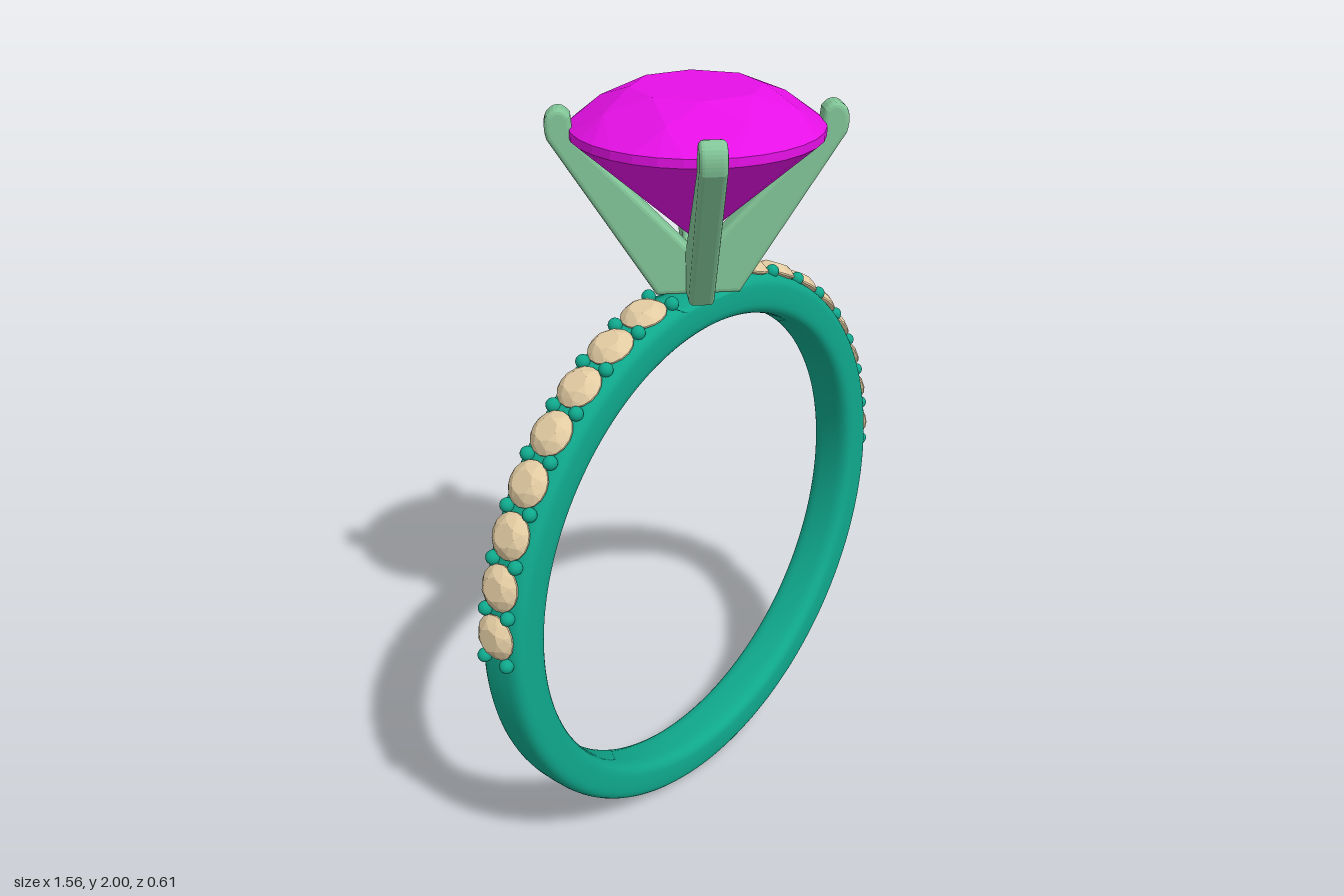
import * as THREE from 'three';
import { ConvexGeometry } from 'three/addons/geometries/ConvexGeometry.js';

const mat = (color, flatShading = false) => new THREE.MeshStandardMaterial({ color, flatShading });
const CENTRE = 0.76; // height of the band's axis

// Brilliant cut of unit radius: table, crown points, girdle, pavilion and culet
function brilliant(n, crown, pavilion) {
  const pts = [new THREE.Vector3(0, -pavilion, 0)];
  const ring = (count, r, y, turn = 0) => {
    for (let i = 0; i < count; i++) {
      const a = ((i + turn) / count) * Math.PI * 2;
      pts.push(new THREE.Vector3(r * Math.sin(a), y, r * Math.cos(a)));
    }
  };
  ring(8, 0.52, crown);
  ring(8, 0.79, crown * 0.62, 0.5);
  ring(n, 1, 0.04);
  ring(n, 1, -0.03);
  ring(n / 2, 0.965, -0.06);
  return new ConvexGeometry(pts);
}

// Ring with a softly squared section, levelled under the setting
function bandGeometry() {
  const profile = [];
  const soft = (v) => Math.sign(v) * Math.pow(Math.abs(v), 0.55);
  for (let i = 0; i <= 32; i++) {
    const a = (i / 32) * Math.PI * 2;
    profile.push(new THREE.Vector2(0.7 + 0.055 * soft(Math.cos(a)), 0.068 * soft(Math.sin(a))));
  }
  const geo = new THREE.LatheGeometry(profile, 160);
  geo.rotateX(Math.PI / 2);
  geo.translate(0, CENTRE, 0);
  const p = geo.attributes.position;
  for (let i = 0; i < p.count; i++) {
    if (Math.abs(p.getX(i)) < 0.135) p.setY(i, Math.min(p.getY(i), 1.482));
  }
  return geo;
}

// Tapered blade in a radial plane, with a rounded claw at the top
function prongGeometry() {
  const b = 0.012;
  const s = new THREE.Shape();
  s.moveTo(-0.01, 1.49 + b);
  s.lineTo(0.11 - b, 1.49 + b);
  s.lineTo(0.346, 1.89);
  s.quadraticCurveTo(0.354, 1.92, 0.345, 1.936);
  s.quadraticCurveTo(0.327, 1.957, 0.311, 1.936);
  s.lineTo(0.305, 1.885);
  s.lineTo(-0.01, 1.56);
  s.closePath();
  const geo = new THREE.ExtrudeGeometry(s, {
    depth: 0.04, bevelEnabled: true, bevelSize: b, bevelThickness: b, bevelSegments: 3, curveSegments: 6,
  });
  geo.translate(0, 0, -0.02);
  return geo;
}

export function createModel() {
  const model = new THREE.Group();
  const metal = mat(0x0fa88c);
  const add = (parent, name, geo, material) => {
    const mesh = new THREE.Mesh(geo, material);
    mesh.name = name;
    parent.add(mesh);
    return mesh;
  };

  add(model, 'band', bandGeometry(), metal);

  // Centre stone
  const gem = add(model, 'centreStone', brilliant(32, 0.333, 0.91), mat(0xe610e6, true));
  gem.scale.setScalar(0.307);
  gem.position.y = 1.898;

  // Four-claw setting
  const setting = new THREE.Group();
  setting.name = 'setting';
  model.add(setting);
  const prongGeo = prongGeometry();
  const prongMat = mat(0x82c698);
  for (let i = 0; i < 4; i++) {
    add(setting, 'prong', prongGeo, prongMat).rotation.y = Math.PI / 4 + (i * Math.PI) / 2;
  }

  // Small stones along both shoulders, with a pair of beads in every gap
  const stoneGeo = brilliant(16, 0.42, 0.6);
  const stoneMat = mat(0xe2cba2, true);
  const beadGeo = new THREE.SphereGeometry(0.018, 14, 10);
  const step = 9.7;
  for (const side of [1, -1]) {
    const shoulder = new THREE.Group();
    shoulder.name = side > 0 ? 'leftShoulder' : 'rightShoulder';
    model.add(shoulder);
    const place = (mesh, degrees, radius, z) => {
      const a = THREE.MathUtils.degToRad(degrees);
      mesh.position.set(side * radius * Math.cos(a), CENTRE + radius * Math.sin(a), z);
      mesh.rotation.z = side * (a - Math.PI / 2);
    };
    for (let i = 0; i <= 8; i++) {
      for (const z of [-0.037, 0.037]) {
        place(add(shoulder, 'bead', beadGeo, metal), 1.5 + step * i, 0.76, z);
      }
      if (i === 8) break;
      const stone = add(shoulder, 'smallStone', stoneGeo, stoneMat);
      stone.scale.setScalar(0.058);
      place(stone, 6.35 + step * i, 0.758, 0);
    }
  }
  return model;
}
